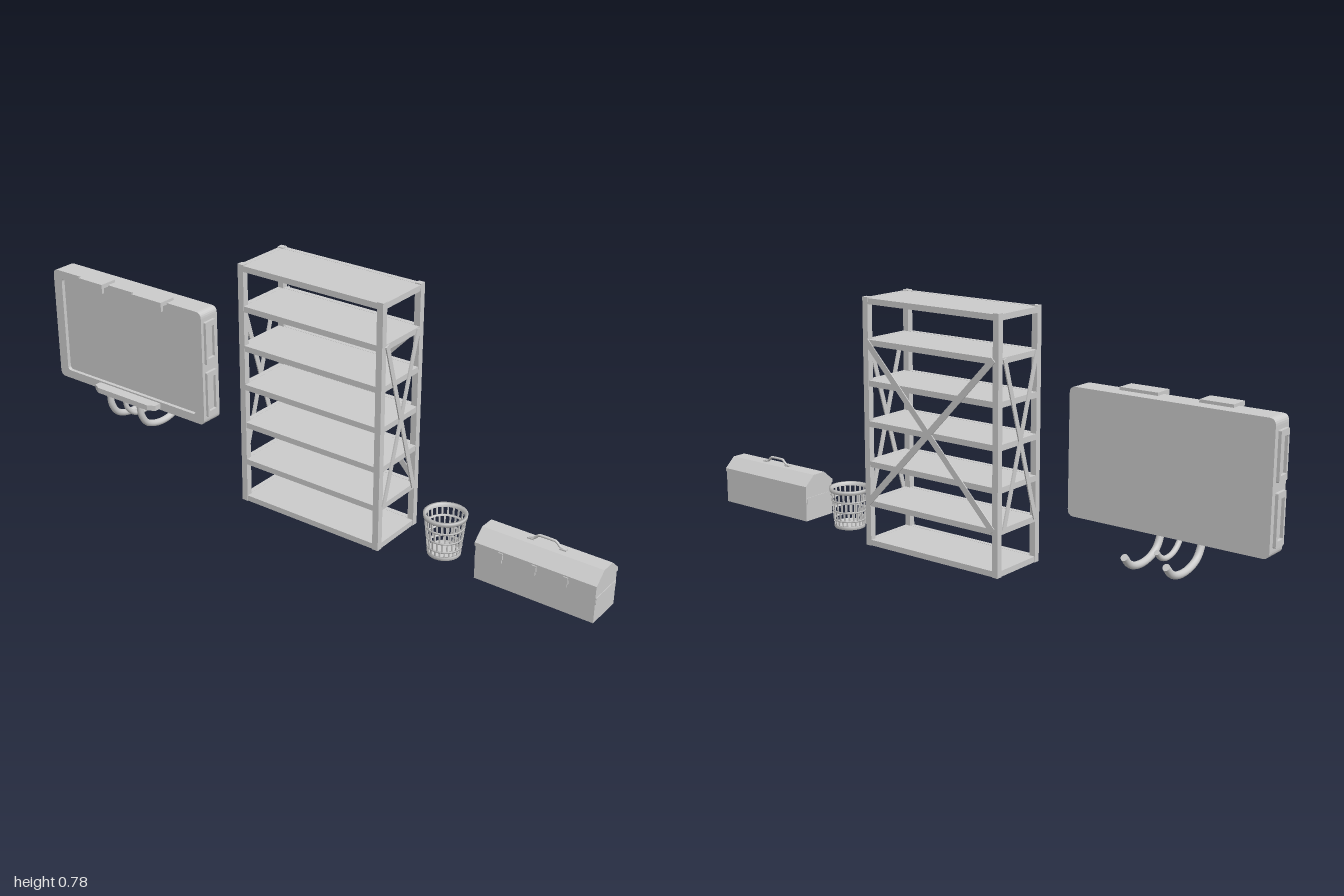
import * as THREE from 'three';

const grey = new THREE.MeshStandardMaterial({ color: 0xcccccc });
const greyFlat = new THREE.MeshStandardMaterial({ color: 0xcccccc, flatShading: true });
const greyDouble = new THREE.MeshStandardMaterial({ color: 0xcccccc, side: THREE.DoubleSide });

function add(parent, name, geometry, material = grey) {
  const mesh = new THREE.Mesh(geometry, material);
  mesh.name = name;
  parent.add(mesh);
  return mesh;
}

// box given by its lower and upper limits
function box(parent, name, [x0, x1], [y0, y1], [z0, z1]) {
  const mesh = add(parent, name, new THREE.BoxGeometry(x1 - x0, y1 - y0, z1 - z0));
  mesh.position.set((x0 + x1) / 2, (y0 + y1) / 2, (z0 + z1) / 2);
  return mesh;
}

function tube(parent, name, points, radius, closedEnds = true, tension = 0.5) {
  const pts = points.map(p => new THREE.Vector3(...p));
  const curve = new THREE.CatmullRomCurve3(pts, false, 'catmullrom', tension);
  add(parent, name, new THREE.TubeGeometry(curve, 32, radius, 12));
  if (!closedEnds) return;
  for (const t of [0, 1]) {
    const cap = add(parent, name + 'End', new THREE.CircleGeometry(radius, 12), greyDouble);
    cap.position.copy(curve.getPointAt(t));
    cap.lookAt(cap.position.clone().add(curve.getTangentAt(t)));
  }
}

function roundRect(path, x0, x1, y0, y1, r) {
  path.moveTo(x0 + r, y0);
  path.lineTo(x1 - r, y0);
  path.quadraticCurveTo(x1, y0, x1, y0 + r);
  path.lineTo(x1, y1 - r);
  path.quadraticCurveTo(x1, y1, x1 - r, y1);
  path.lineTo(x0 + r, y1);
  path.quadraticCurveTo(x0, y1, x0, y1 - r);
  path.lineTo(x0, y0 + r);
  path.quadraticCurveTo(x0, y0, x0 + r, y0);
  return path;
}

const extrude = (shape, depth) =>
  new THREE.ExtrudeGeometry(shape, { depth, bevelEnabled: false, curveSegments: 6 });

function makeBoard() {
  const g = new THREE.Group();
  g.name = 'wallBoard';
  const outline = () => roundRect(new THREE.Shape(), -0.988, -0.355, 0.197, 0.575, 0.02);
  // back slab and raised frame around the recessed panel
  add(g, 'boardBack', extrude(outline(), 0.062)).position.z = 0.003;
  const frame = outline();
  frame.holes.push(roundRect(new THREE.Path(), -0.953, -0.39, 0.225, 0.548, 0.012));
  add(g, 'boardFrame', extrude(frame, 0.012)).position.z = 0.065;

  // framed grips on both ends, two per end
  for (const [x, side] of [[-0.997, 'right'], [-0.355, 'left']]) {
    for (const [y0, y1] of [[0.225, 0.375], [0.402, 0.542]]) {
      const grip = roundRect(new THREE.Shape(), -0.066, -0.02, y0, y1, 0.004);
      grip.holes.push(roundRect(new THREE.Path(), -0.058, -0.028, y0 + 0.018, y1 - 0.018, 0.003));
      const mesh = add(g, side + 'Grip', extrude(grip, 0.009));
      mesh.rotation.y = Math.PI / 2;
      mesh.position.x = x;
    }
  }

  // clips over the top edge
  for (const [x0, x1] of [[-0.845, -0.742], [-0.615, -0.492]]) {
    box(g, 'topClip', [x0, x1], [0.57, 0.584], [0.045, 0.105]);
    box(g, 'clipLip', [x0, x1], [0.554, 0.57], [0.095, 0.104]);
  }

  // lower ledge, tapering towards the front
  const ledge = new THREE.Shape([[-0.805, 0.07], [-0.54, 0.07], [-0.54, 0.1], [-0.565, 0.113],
    [-0.78, 0.113], [-0.805, 0.1]].map(p => new THREE.Vector2(...p)));
  const ledgeMesh = add(g, 'ledge', extrude(ledge, 0.018));
  ledgeMesh.rotation.x = Math.PI / 2;
  ledgeMesh.position.y = 0.22;

  // curved hooks under the ledge
  for (const x of [-0.739, -0.608]) {
    tube(g, 'longHook', [[x, 0.205, 0.101], [x, 0.165, 0.094], [x, 0.13, 0.07], [x, 0.112, 0.025],
      [x, 0.11, -0.025], [x, 0.123, -0.065], [x, 0.15, -0.093]], 0.011);
  }
  tube(g, 'shortHook', [[-0.674, 0.205, 0.1], [-0.674, 0.17, 0.09], [-0.674, 0.142, 0.06],
    [-0.674, 0.133, 0.02], [-0.674, 0.142, -0.012], [-0.674, 0.162, -0.034]], 0.008);
  return g;
}

function makeRack() {
  const g = new THREE.Group();
  g.name = 'shelfRack';
  const X0 = -0.19, X1 = 0.32, Z0 = -0.11, Z1 = 0.095, w = 0.02;
  for (const x of [X0, X1 - w]) {
    for (const z of [Z0, Z1 - w]) box(g, 'post', [x, x + w], [0, 0.776], [z, z + w]);
  }
  // shelves: thin plate inside a rail frame
  for (const y of [0.01, 0.137, 0.262, 0.388, 0.514, 0.639, 0.764]) {
    const span = [y - 0.009, y + 0.009];
    box(g, 'shelfPlate', [X0 + 0.003, X1 - 0.003], [y + 0.002, y + 0.0085], [Z0 + 0.003, Z1 - 0.003]);
    for (const z of [Z0, Z1 - 0.018]) box(g, 'longRail', [X0 + w, X1 - w], span, [z + 0.001, z + 0.017]);
    for (const x of [X0, X1 - 0.018]) box(g, 'endRail', [x + 0.001, x + 0.017], span, [Z0 + w, Z1 - w]);
  }
  // crossed flat braces on the back and both ends
  const width = X1 - X0 - 0.03, rise = 0.505;
  for (const s of [-1, 1]) {
    const back = add(g, 'backBrace', new THREE.BoxGeometry(Math.hypot(width, rise), 0.02, 0.003));
    back.position.set((X0 + X1) / 2 + 0.002, 0.392, Z0 - 0.0015);
    back.rotation.z = s * Math.atan2(rise, width);
    for (const x of [X0 - 0.0005, X1 + 0.002]) {
      const brace = add(g, 'endBrace', new THREE.BoxGeometry(0.004, Math.hypot(0.154, rise), 0.016));
      brace.position.set(x, 0.392, -0.004);
      brace.rotation.x = s * Math.atan2(0.154, rise);
    }
  }
  return g;
}

function makeBin() {
  const g = new THREE.Group();
  g.name = 'wasteBin';
  g.position.set(0.48, 0, -0.012);
  const H = 0.135, n = 22;
  const radiusAt = y => 0.047 + 0.014 * y / H;
  // hoop with a rectangular section
  const hoop = (name, y0, y1, t) => add(g, name, new THREE.LatheGeometry([
    [radiusAt(y0) - t, y0], [radiusAt(y0) + t, y0], [radiusAt(y1) + t, y1],
    [radiusAt(y1) - t, y1], [radiusAt(y0) - t, y0]].map(p => new THREE.Vector2(...p)), 32), greyDouble);
  hoop('rim', 0.124, 0.136, 0.004);
  hoop('upperHoop', 0.094, 0.099, 0.002);
  hoop('middleHoop', 0.06, 0.065, 0.002);
  hoop('lowerHoop', 0.03, 0.035, 0.002);
  hoop('baseBand', 0.005, 0.016, 0.002);
  add(g, 'floor', new THREE.CylinderGeometry(0.047, 0.047, 0.005, 32)).position.y = 0.0075;
  // slats, staggered from one row to the next
  const rows = [[0.013, 0.033], [0.032, 0.063], [0.062, 0.097], [0.096, 0.126]];
  rows.forEach(([y0, y1], row) => {
    for (let i = 0; i < n; i++) {
      const a = (i + (row % 2) / 2) / n * Math.PI * 2;
      const slat = add(g, 'slat', new THREE.BoxGeometry(0.005, y1 - y0, 0.003));
      const r = radiusAt((y0 + y1) / 2);
      slat.position.set(Math.sin(a) * r, (y0 + y1) / 2, Math.cos(a) * r);
      slat.rotation.set(0.103, a, 0, 'YXZ');
    }
  });
  return g;
}

function makeToolbox() {
  const g = new THREE.Group();
  g.name = 'toolbox';
  const X0 = 0.619, X1 = 0.996;
  // section drawn as (-z, y), swept along x
  const prism = (name, pts, x0, x1) => {
    const mesh = add(g, name, extrude(new THREE.Shape(pts.map(p => new THREE.Vector2(...p))), x1 - x0), greyFlat);
    mesh.rotation.y = Math.PI / 2;
    mesh.position.x = x0;
  };
  prism('body', [[-0.053, 0.005], [0.067, 0.005], [0.067, 0.113], [-0.053, 0.113]], X0 + 0.002, X1 - 0.002);
  prism('lid', [[-0.056, 0.111], [0.069, 0.111], [0.069, 0.122], [0.031, 0.155],
    [-0.017, 0.155], [-0.056, 0.122]], X0, X1);
  // strips across both ends
  for (const x of [X0, X1 - 0.003]) box(g, 'endStrip', [x, x + 0.003], [0.063, 0.083], [-0.064, 0.051]);
  // front latches
  for (const x of [0.703, 0.808, 0.905]) {
    box(g, 'latch', [x - 0.007, x + 0.007], [0.098, 0.118], [0.052, 0.059]);
    box(g, 'latchTongue', [x - 0.004, x + 0.004], [0.085, 0.1], [0.052, 0.057]);
  }
  // carrying handle with feet
  tube(g, 'handle', [[0.755, 0.157, -0.008], [0.77, 0.161, -0.008], [0.785, 0.174, -0.008],
    [0.835, 0.174, -0.008], [0.85, 0.161, -0.008], [0.865, 0.157, -0.008]], 0.004, true, 0.2);
  for (const x of [0.76, 0.86]) box(g, 'handleFoot', [x - 0.01, x + 0.01], [0.154, 0.159], [-0.014, -0.002]);
  return g;
}

export function createModel() {
  const model = new THREE.Group();
  model.name = 'workshopSet';
  model.add(makeBoard(), makeRack(), makeBin(), makeToolbox());
  return model;
}
